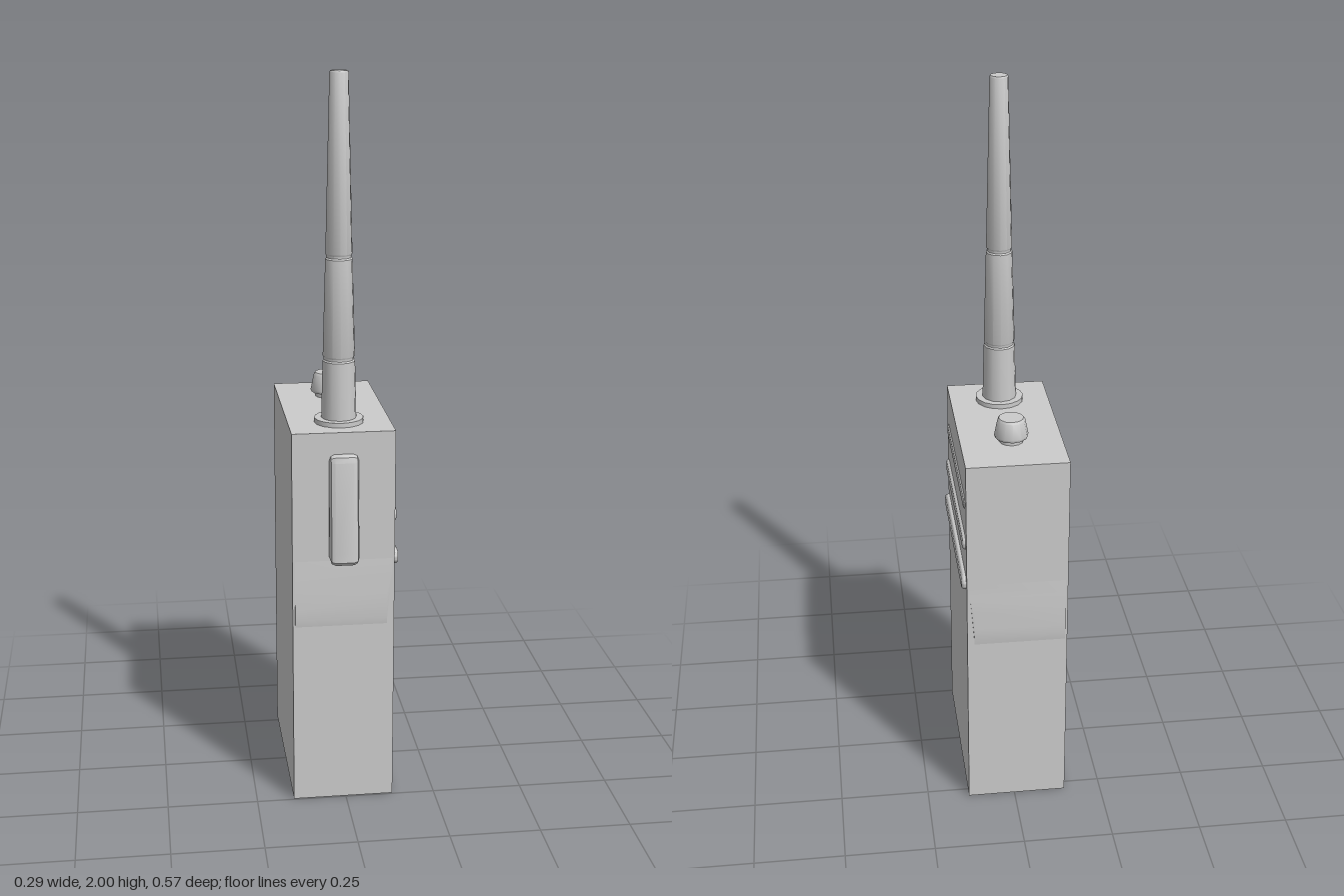
import * as THREE from 'three';
import { toCreasedNormals } from 'three/addons/utils/BufferGeometryUtils.js';

const grey = new THREE.MeshStandardMaterial({ color: 0xcccccc });
const CX = -0.007; // centre line of the body

function add(group, name, geometry, crease = 0.6) {
  const mesh = new THREE.Mesh(toCreasedNormals(geometry, crease), grey);
  mesh.name = name;
  group.add(mesh);
  return mesh;
}

const polygon = (points) => new THREE.Shape(points.map(([x, y]) => new THREE.Vector2(x, y)));
const lathe = (points, sides) =>
  new THREE.LatheGeometry(points.map(([r, y]) => new THREE.Vector2(r, y)), sides);

// Long rounded bar lying along z, bulging out to x = outer
function ribGeometry(y, zBack, zFront, outer) {
  const r = 0.022, bevel = 0.008;
  const shape = new THREE.Shape();
  shape.absarc(-zBack - r, y, r, -Math.PI / 2, Math.PI / 2, false);
  shape.absarc(-zFront + r, y, r, Math.PI / 2, Math.PI * 1.5, false);
  const g = new THREE.ExtrudeGeometry(shape, {
    depth: 0.02, curveSegments: 6, bevelEnabled: true,
    bevelSize: bevel, bevelOffset: -bevel, bevelThickness: bevel, bevelSegments: 3,
  });
  g.rotateY(Math.PI / 2);
  g.translate(outer - 0.028, 0, 0);
  return g;
}

// Shallow raised grip, profile in (depth, height), swept across the width
function gripGeometry() {
  const shape = polygon([
    [-0.01, 0.52], [0, 0.52], [0.003, 0.54], [0.004, 0.57],
    [0.0035, 0.62], [0.002, 0.67], [0, 0.71], [-0.01, 0.71],
  ]);
  const g = new THREE.ExtrudeGeometry(shape, { depth: 0.267, bevelEnabled: false });
  g.rotateY(-Math.PI / 2);
  g.translate(0.127, 0, 0);
  // Slant the lower part of the left end inward
  const p = g.attributes.position;
  for (let i = 0; i < p.count; i++) {
    if (p.getX(i) > 0 && p.getY(i) < 0.64) p.setX(i, 0.113);
  }
  return g;
}

export function createModel() {
  const radio = new THREE.Group();
  radio.name = 'handheldRadio';

  // Body
  const body = new THREE.BoxGeometry(0.279, 1.07, 0.527);
  body.translate(CX, 0.535, -0.0175);
  add(radio, 'body', body);

  // Side ribs, growing longer and deeper downwards
  for (let i = 0; i < 3; i++) {
    const grow = i * 0.008;
    add(radio, 'sideRib', ribGeometry(0.946 - i * 0.12, -0.252 - grow, 0.221 + grow, 0.136 + i * 0.0045), 0.8);
  }

  // Talk button on the front
  const button = new THREE.ExtrudeGeometry(
    polygon([[0.2, 0.705], [0.274, 0.705], [0.283, 0.715], [0.282, 0.74], [0.267, 0.99], [0.263, 1.005], [0.254, 1.01], [0.2, 1.01]]),
    { depth: 0.05, bevelEnabled: true, bevelSize: 0.018, bevelOffset: -0.018, bevelThickness: 0.015, bevelSegments: 2 },
  );
  button.rotateY(-Math.PI / 2);
  button.translate(CX + 0.025, 0, 0);
  add(radio, 'talkButton', button, 0.5);

  // Raised grips, front and back
  add(radio, 'frontGrip', gripGeometry().translate(0, 0, 0.246));
  const back = gripGeometry().rotateY(Math.PI);
  back.translate(2 * CX, 0, -0.281);
  // Mirror across the width so the slanted end matches the front
  const p = back.attributes.position;
  for (let i = 0; i < p.count; i++) p.setX(i, 2 * CX - p.getX(i));
  for (let i = 0; i < p.count; i += 3) {
    const a = new THREE.Vector3().fromBufferAttribute(p, i + 1);
    const b = new THREE.Vector3().fromBufferAttribute(p, i + 2);
    p.setXYZ(i + 1, b.x, b.y, b.z);
    p.setXYZ(i + 2, a.x, a.y, a.z);
  }
  back.translate(-2 * CX + 2 * CX - CX * 2 - 0.014, 0, 0);
  add(radio, 'backGrip', back);

  // Antenna collar and stepped, tapering antenna
  const collar = add(radio, 'antennaCollar',
    lathe([[0, 1.06], [0.067, 1.06], [0.067, 1.083], [0, 1.083]], 16));
  collar.position.set(CX, 0, 0.137);
  const antenna = add(radio, 'antenna', lathe([
    [0, 1.07], [0.048, 1.075], [0.044, 1.24], [0.041, 1.244], [0.041, 1.25], [0.0435, 1.254],
    [0.0365, 1.515], [0.0335, 1.519], [0.0335, 1.525], [0.036, 1.529],
    [0.025, 1.996], [0.023, 2], [0, 2],
  ], 12));
  antenna.position.set(CX, 0, 0.137);

  // Volume knob on a short neck
  const knob = add(radio, 'knob', lathe([
    [0, 1.06], [0.033, 1.06], [0.033, 1.083], [0.044, 1.083], [0.047, 1.09],
    [0.038, 1.134], [0.034, 1.14], [0, 1.14],
  ], 12));
  knob.position.set(CX, 0, -0.132);

  return radio;
}
